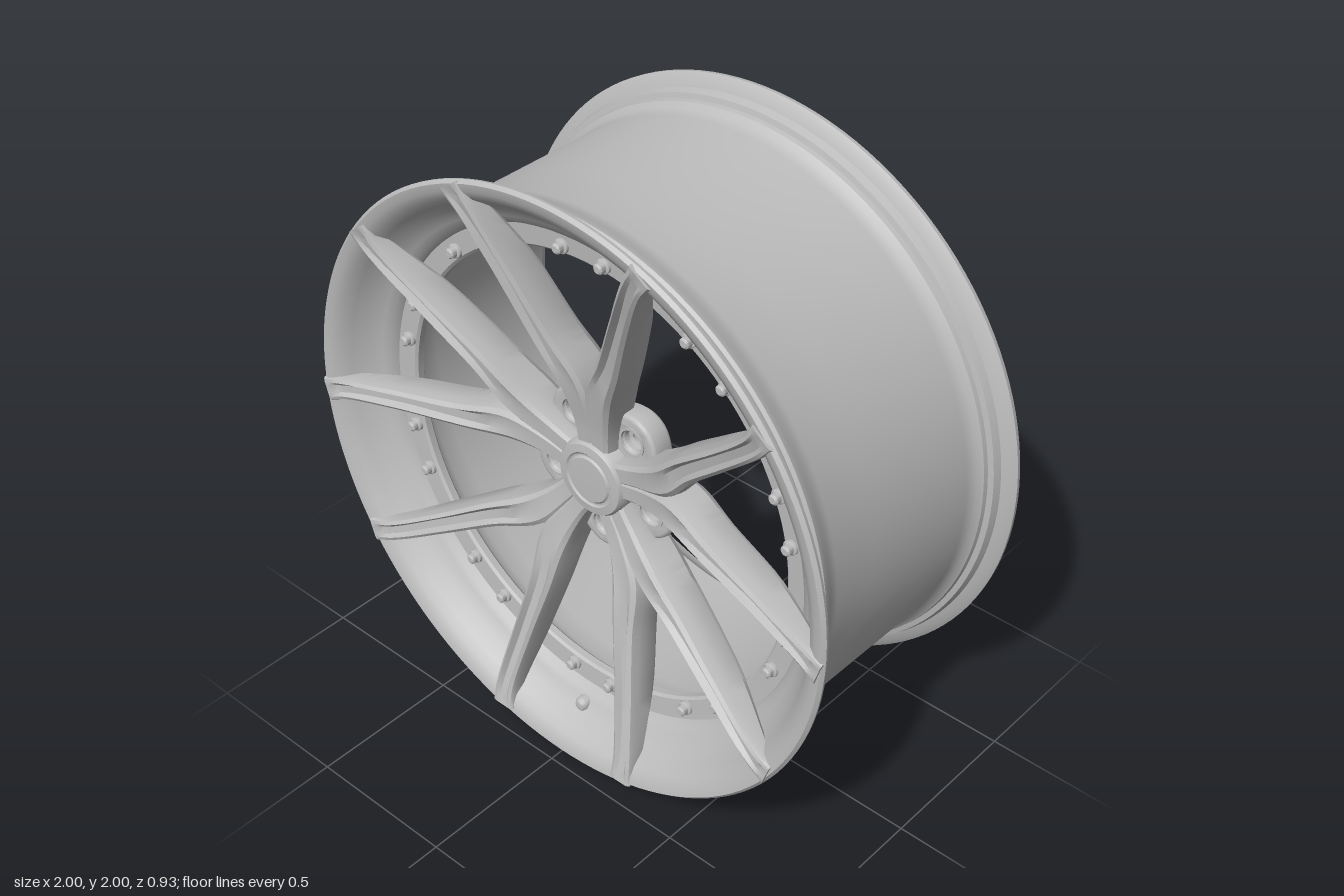
import * as THREE from 'three';
import { toCreasedNormals } from 'three/addons/utils/BufferGeometryUtils.js';

const metal = new THREE.MeshStandardMaterial({ color: 0xbcbcbc });
metal.name = 'silver metal';

const FIFTH = (Math.PI * 2) / 5;

function addMesh(parent, name, geometry, crease = 0.6) {
  const mesh = new THREE.Mesh(toCreasedNormals(geometry, crease), metal);
  mesh.name = name;
  parent.add(mesh);
  return mesh;
}

// Turns [radius, z] pairs around the wheel axis
function turned(points, segments) {
  const profile = points.map(([r, z]) => new THREE.Vector2(r, z));
  return new THREE.LatheGeometry(profile, segments).rotateX(Math.PI / 2);
}

// One arm of a forked spoke, lofted along a curve; side is 1 or -1
function spokeArm(side) {
  // x, y, half width
  const path = new THREE.CatmullRomCurve3([
    [0.026, 0.07, 0.036], [0.03, 0.18, 0.04], [0.052, 0.32, 0.056], [0.128, 0.47, 0.046],
    [0.222, 0.68, 0.039], [0.31, 0.86, 0.038], [0.353, 0.921, 0.042],
  ].map(([x, y, w]) => new THREE.Vector3(x * side, y, w)));
  // front z, back z, groove depth
  const depth = new THREE.CatmullRomCurve3([
    [0.285, 0.17, 0], [0.295, 0.17, 0], [0.322, 0.18, 0.003], [0.36, 0.225, 0.016],
    [0.412, 0.29, 0.022], [0.456, 0.388, 0.012], [0.466, 0.442, 0],
  ].map((p) => new THREE.Vector3(...p)));

  const steps = 28, positions = [], index = [];
  let n = 0;
  for (let i = 0; i <= steps; i++) {
    const p = path.getPoint(i / steps), d = depth.getPoint(i / steps);
    const t = path.getTangent(i / steps);
    const len = Math.hypot(t.x, t.y), ux = t.y / len, uy = -t.x / len;
    const front = d.x, back = d.y, groove = d.z, thick = front - back;
    const half = [
      [0.65, back], [0.95, back + thick * 0.15], [1, front - thick * 0.3],
      [0.88, front - thick * 0.08], [0.6, front], [0.32, front - groove],
    ];
    const section = [...half.map(([u, z]) => [-u, z]), ...half.slice().reverse()];
    n = section.length;
    for (const [u, z] of section) positions.push(p.x + ux * u * p.z, p.y + uy * u * p.z, z);
  }
  for (let i = 0; i < steps; i++) {
    for (let j = 0; j < n; j++) {
      const a = i * n + j, b = i * n + ((j + 1) % n);
      index.push(a, b, a + n, b, b + n, a + n);
    }
  }
  for (let j = 1; j < n - 1; j++) {
    const e = steps * n;
    index.push(e, e + j, e + j + 1, 0, j + 1, j);
  }
  const geometry = new THREE.BufferGeometry();
  geometry.setAttribute('position', new THREE.Float32BufferAttribute(positions, 3));
  geometry.setIndex(index);
  return geometry;
}

// Softly five-lobed plate with lug holes
function hubPlate() {
  const outline = [];
  for (let i = 0; i < 100; i++) {
    const a = (i / 100) * Math.PI * 2;
    const r = 0.242 + 0.026 * Math.cos(5 * (a + Math.PI / 2));
    outline.push(new THREE.Vector2(Math.cos(a) * r, Math.sin(a) * r));
  }
  const shape = new THREE.Shape(outline);
  for (let k = 0; k < 5; k++) {
    const a = -Math.PI / 2 + k * FIFTH;
    const hole = new THREE.Path();
    hole.absarc(Math.cos(a) * 0.2, Math.sin(a) * 0.2, 0.046, 0, Math.PI * 2, true);
    shape.holes.push(hole);
  }
  return new THREE.ExtrudeGeometry(shape, {
    depth: 0.056, bevelEnabled: true, bevelSize: 0.012, bevelThickness: 0.012, bevelSegments: 3, curveSegments: 20,
  }).translate(0, 0, 0.172);
}

export function createModel() {
  const model = new THREE.Group();
  model.name = 'wheel';
  const wheel = new THREE.Group();
  wheel.name = 'wheelBody';
  wheel.position.y = 1;
  model.add(wheel);

  // Barrel with both flanges, the front dish and the bolt ring
  addMesh(wheel, 'rim', turned([
    [0.868, -0.385], [0.885, -0.405], [0.905, -0.42], [0.915, -0.448], [0.94, -0.455], [0.975, -0.465],
    [0.99, -0.462], [0.992, -0.448], [0.975, -0.435], [0.95, -0.425], [0.942, -0.40], [0.925, -0.395],
    [0.922, -0.38], [0.906, -0.365], [0.897, -0.33], [0.895, 0.1], [0.896, 0.27], [0.903, 0.305],
    [0.92, 0.335], [0.925, 0.355], [0.918, 0.365], [0.924, 0.385], [0.945, 0.395], [0.952, 0.42],
    [0.985, 0.428], [0.998, 0.438], [1.0, 0.448], [0.99, 0.459], [0.965, 0.454], [0.935, 0.436],
    [0.915, 0.408], [0.885, 0.37], [0.85, 0.34], [0.828, 0.328], [0.815, 0.303], [0.75, 0.298], [0.742, 0.29],
    [0.742, 0.268], [0.75, 0.26], [0.8, 0.25], [0.84, 0.22], [0.86, 0.17], [0.868, 0.1], [0.868, -0.385],
  ], 128));

  // Forked spokes
  for (let k = 0; k < 5; k++) {
    const fork = new THREE.Group();
    fork.name = 'forkedSpoke';
    fork.rotation.z = k * FIFTH;
    wheel.add(fork);
    addMesh(fork, 'leftArm', spokeArm(1));
    addMesh(fork, 'rightArm', spokeArm(-1));
  }

  // Hub and lug seats sunk into it
  addMesh(wheel, 'hubPlate', hubPlate());
  const lugSeat = turned([
    [0.024, 0.19], [0.036, 0.164], [0.048, 0.164], [0.048, 0.244], [0.04, 0.244], [0.034, 0.215], [0.024, 0.21], [0.024, 0.19],
  ], 24);
  for (let k = 0; k < 5; k++) {
    const a = -Math.PI / 2 + k * FIFTH;
    addMesh(wheel, 'lugSeat', lugSeat).position.set(Math.cos(a) * 0.2, Math.sin(a) * 0.2, 0);
  }

  // Centre cap with a raised rim, and a low ring at the back
  addMesh(wheel, 'centreCap', turned([
    [0.13, 0.2], [0.128, 0.285], [0.118, 0.3], [0.092, 0.303], [0.086, 0.298], [0.08, 0.298], [0.074, 0.304], [0, 0.306],
  ], 64));
  addMesh(wheel, 'rearHubRing', turned([
    [0.1, 0.165], [0.1, 0.155], [0.105, 0.152], [0.118, 0.152], [0.123, 0.165],
  ], 64));

  // Paired bolts around the ring
  const bolt = turned([[0.024, 0.29], [0.024, 0.308], [0.017, 0.312], [0.017, 0.327], [0.011, 0.332], [0, 0.332]], 12);
  for (let k = 0; k < 10; k++) {
    for (const offset of [-0.102, 0.102]) {
      const a = Math.PI / 2 + (k * Math.PI) / 5 + offset;
      addMesh(wheel, 'ringBolt', bolt).position.set(Math.cos(a) * 0.773, Math.sin(a) * 0.773, 0);
    }
  }

  // Valve stem at the bottom of the dish
  addMesh(wheel, 'valve', turned([[0.025, 0.33], [0.024, 0.358], [0.016, 0.37], [0, 0.374]], 16)).position.y = -0.865;

  return model;
}
